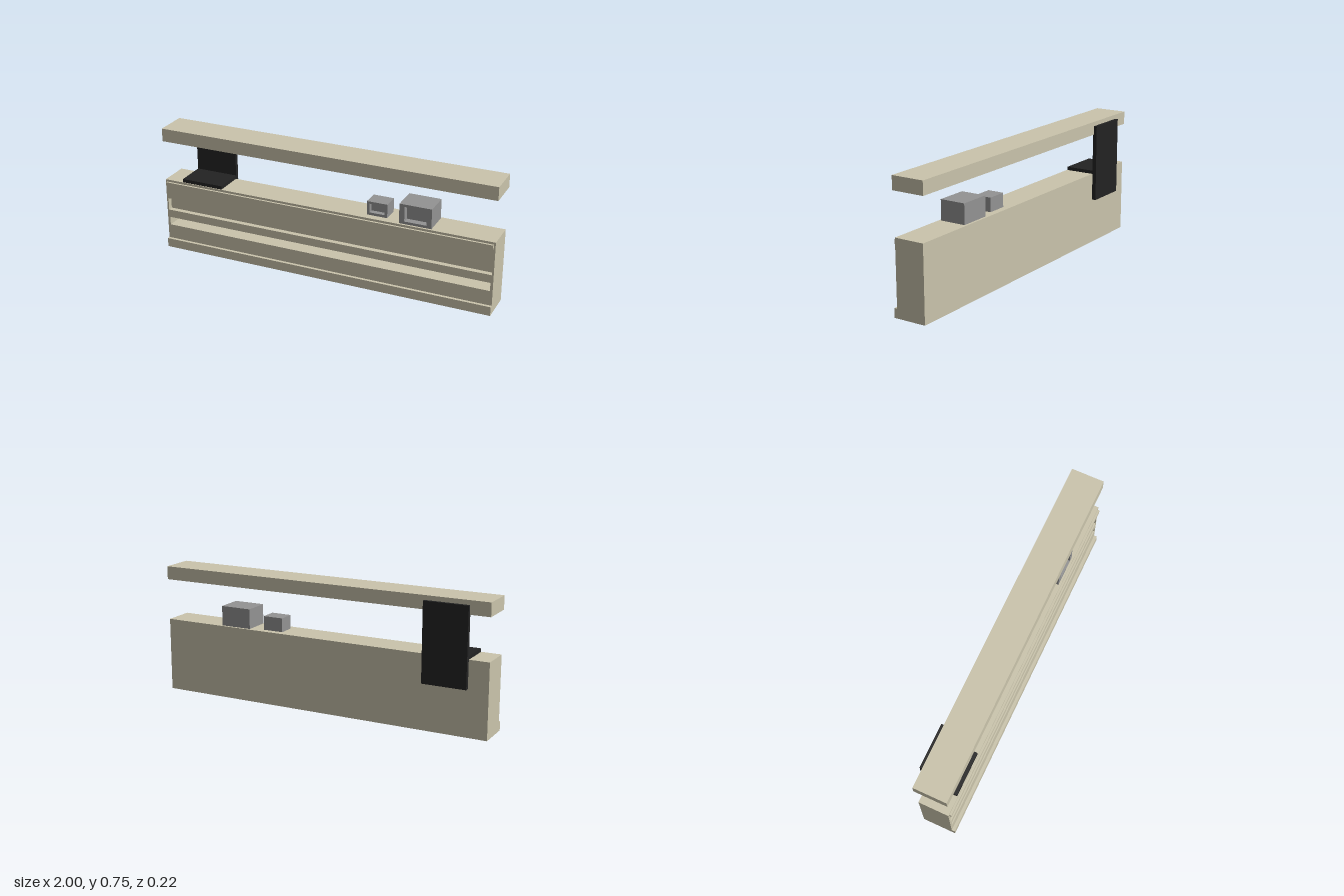
import * as THREE from 'three';
import { mergeGeometries } from 'three/addons/utils/BufferGeometryUtils.js';

const beige = new THREE.MeshStandardMaterial({ color: 0xcac4ac });
const black = new THREE.MeshStandardMaterial({ color: 0x232323 });
const grey = new THREE.MeshStandardMaterial({ color: 0x939393 });

// Every extent is a pair [min, max].
function block(name, material, [x0, x1], [y0, y1], [z0, z1]) {
  const mesh = new THREE.Mesh(new THREE.BoxGeometry(x1 - x0, y1 - y0, z1 - z0), material);
  mesh.position.set((x0 + x1) / 2, (y0 + y1) / 2, (z0 + z1) / 2);
  mesh.name = name;
  return mesh;
}

function trace(path, [x0, x1], [y0, y1]) {
  path.moveTo(x0, y0);
  path.lineTo(x1, y0);
  path.lineTo(x1, y1);
  path.lineTo(x0, y1);
  path.closePath();
  return path;
}

// Box whose front has rectangular pockets of different depths, stacked in layers.
function pocketBlock(name, material, x, y, [z0, z1], pockets) {
  const depths = [...new Set(pockets.map((p) => p.depth))].sort((a, b) => a - b);
  const layers = [];
  let front = 0;
  for (const back of [...depths, z1 - z0]) {
    const shape = trace(new THREE.Shape(), x, y);
    for (const p of pockets) {
      if (p.depth >= back) shape.holes.push(trace(new THREE.Path(), p.x, p.y));
    }
    const layer = new THREE.ExtrudeGeometry(shape, { depth: back - front, bevelEnabled: false });
    layers.push(layer.translate(0, 0, z1 - back));
    front = back;
  }
  const mesh = new THREE.Mesh(mergeGeometries(layers), material);
  mesh.name = name;
  return mesh;
}

export function createModel() {
  const model = new THREE.Group();
  model.name = 'counter';

  // Counter with a shallow upper recess and a deep lower shelf slot
  model.add(
    pocketBlock('counterBody', beige, [-1, 1], [0, 0.428], [-0.084, 0.092], [
      { x: [-0.99, 0.99], y: [0.235, 0.308], depth: 0.03 },
      { x: [-0.985, 0.985], y: [0.139, 0.188], depth: 0.13 },
    ]),
    block('plinth', beige, [-1, 1], [0, 0.053], [0.09, 0.11]),
    block('frontRail', beige, [-0.99, 0.99], [0.389, 0.415], [0.09, 0.104]),
    block('canopy', beige, [-1, 1], [0.669, 0.746], [-0.092, 0.1]),
  );

  // Dark back panel and the mat in front of it
  model.add(
    block('backPanel', black, [-0.885, -0.63], [0.269, 0.72], [-0.11, -0.086]),
    block('counterMat', black, [-0.885, -0.63], [0.428, 0.448], [-0.087, 0.088]),
  );

  // Two appliances with recessed fronts
  model.add(
    pocketBlock('smallAppliance', grey, [0.255, 0.375], [0.428, 0.508], [-0.046, 0.05], [
      { x: [0.27, 0.36], y: [0.443, 0.495], depth: 0.03 },
    ]),
    pocketBlock('largeAppliance', grey, [0.455, 0.64], [0.428, 0.543], [-0.07, 0.08], [
      { x: [0.485, 0.612], y: [0.443, 0.529], depth: 0.04 },
    ]),
  );
  return model;
}
